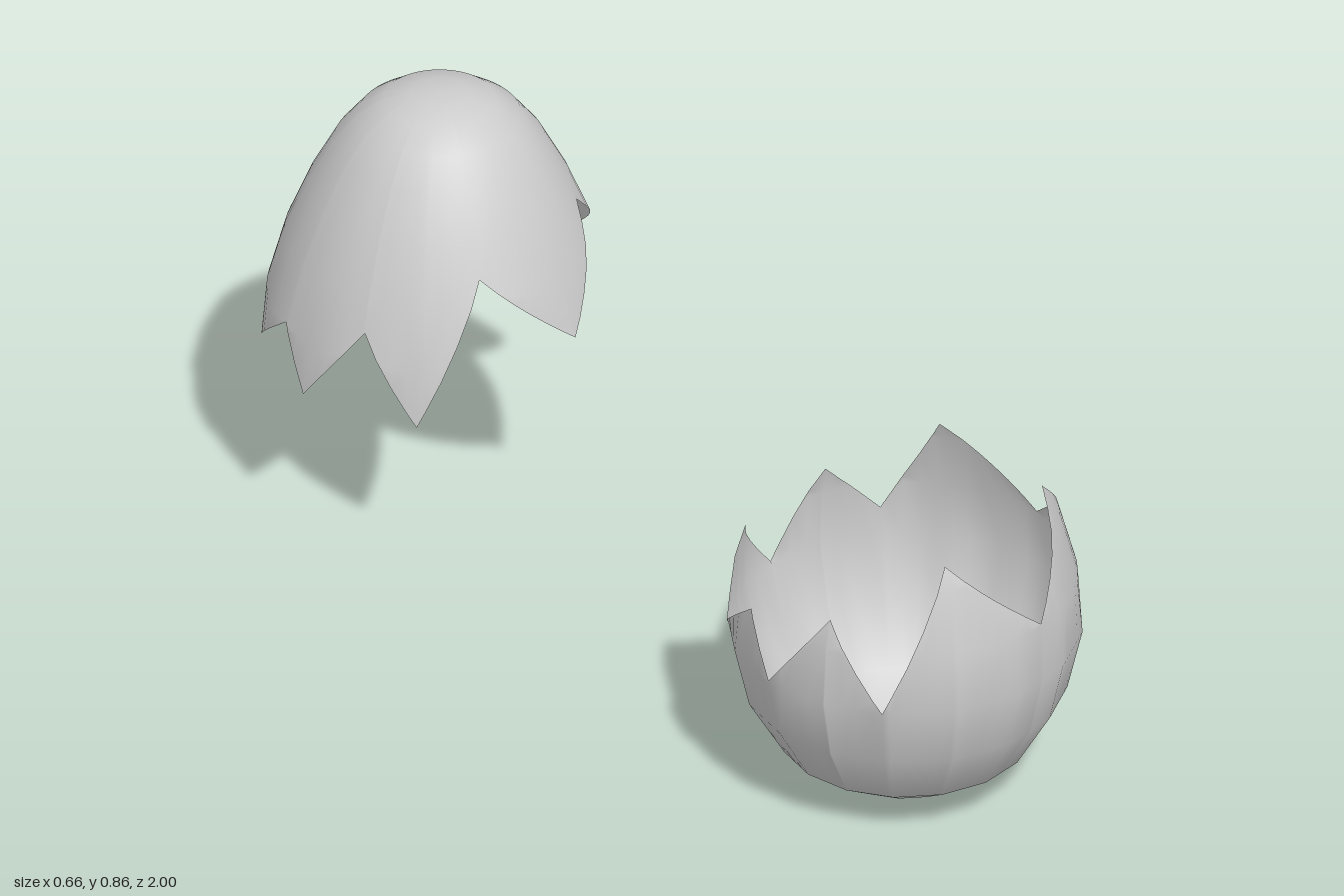
import * as THREE from 'three';
import { mergeVertices } from 'three/addons/utils/BufferGeometryUtils.js';

// egg outline, [radius, height] from base to crown
const PROFILE = [
  [0, 0.003], [0.128, 0.024], [0.234, 0.09], [0.302, 0.205], [0.33, 0.325],
  [0.32, 0.44], [0.287, 0.56], [0.243, 0.665], [0.197, 0.75], [0.152, 0.807],
  [0.104, 0.841], [0.053, 0.855], [0, 0.859],
];
const WIDEST = 0.325;

// corners of the zigzag crack, [degrees from +x towards +z, height]
const CRACK = [
  [0, 0.445], [45, 0.637], [78, 0.443], [114, 0.604], [137.4, 0.325],
  [157, 0.497], [180, 0.33], [193, 0.445], [221, 0.33], [235.5, 0.49],
  [261, 0.33], [281, 0.5], [302, 0.383], [323.7, 0.598], [360, 0.445],
];

// piecewise linear lookup in a list of [key, value]
function lookup(list, t) {
  for (let i = 1; i < list.length; i++) {
    if (t <= list[i][0]) {
      const [a, va] = list[i - 1], [b, vb] = list[i];
      return va + (vb - va) * (t - a) / (b - a);
    }
  }
  return list[list.length - 1][1];
}

const RADII = PROFILE.map(([r, y]) => [y, r]);

// the lower bowl is sixteen-sided, the upper shell is round
function shellPoint(deg, y) {
  let r = lookup(RADII, y);
  if (y <= WIDEST + 0.001) {
    const off = ((deg % 22.5) - 11.25) * Math.PI / 180;
    r *= Math.cos(Math.PI / 16) / Math.cos(off);
  }
  const a = deg * Math.PI / 180;
  return new THREE.Vector3(r * Math.cos(a), y, r * Math.sin(a));
}

// columns at regular angles plus every corner of the crack
function columnAngles() {
  const set = new Set(CRACK.map(([deg]) => deg));
  for (let i = 0; i < 64; i++) set.add(i * 5.625);
  return [...set].sort((a, b) => a - b);
}

// one shell half: every ring is clamped to the crack height of its column
function shellHalf(clamp) {
  const angles = columnAngles();
  const rows = PROFILE.length;
  const points = [], index = [];
  for (const deg of angles) {
    const h = lookup(CRACK, deg);
    for (const [, y] of PROFILE) points.push(shellPoint(deg % 360, clamp(y, h)));
  }
  const tri = new THREE.Triangle();
  const addFace = (a, b, c) => {
    tri.set(points[a], points[b], points[c]);
    if (tri.getArea() > 1e-8) index.push(a, b, c);
  };
  for (let i = 0; i < angles.length - 1; i++) {
    for (let k = 0; k < rows - 1; k++) {
      const a = i * rows + k, b = a + rows;
      addFace(a, a + 1, b);
      addFace(b, a + 1, b + 1);
    }
  }
  let geometry = new THREE.BufferGeometry().setFromPoints(points);
  geometry.setIndex(index);
  geometry = mergeVertices(geometry, 1e-5);
  geometry.computeVertexNormals();
  return geometry;
}

export function createModel() {
  const group = new THREE.Group();
  group.name = 'crackedEggshell';
  const material = new THREE.MeshStandardMaterial({ color: 0xcccccc, side: THREE.DoubleSide });

  // lower half at the front
  const bottom = new THREE.Mesh(shellHalf(Math.min), material);
  bottom.name = 'lowerShell';
  bottom.position.z = 0.67;

  // upper half behind, kept at its own height
  const top = new THREE.Mesh(shellHalf(Math.max), material);
  top.name = 'upperShell';
  top.position.z = -0.67;

  group.add(bottom, top);
  return group;
}
